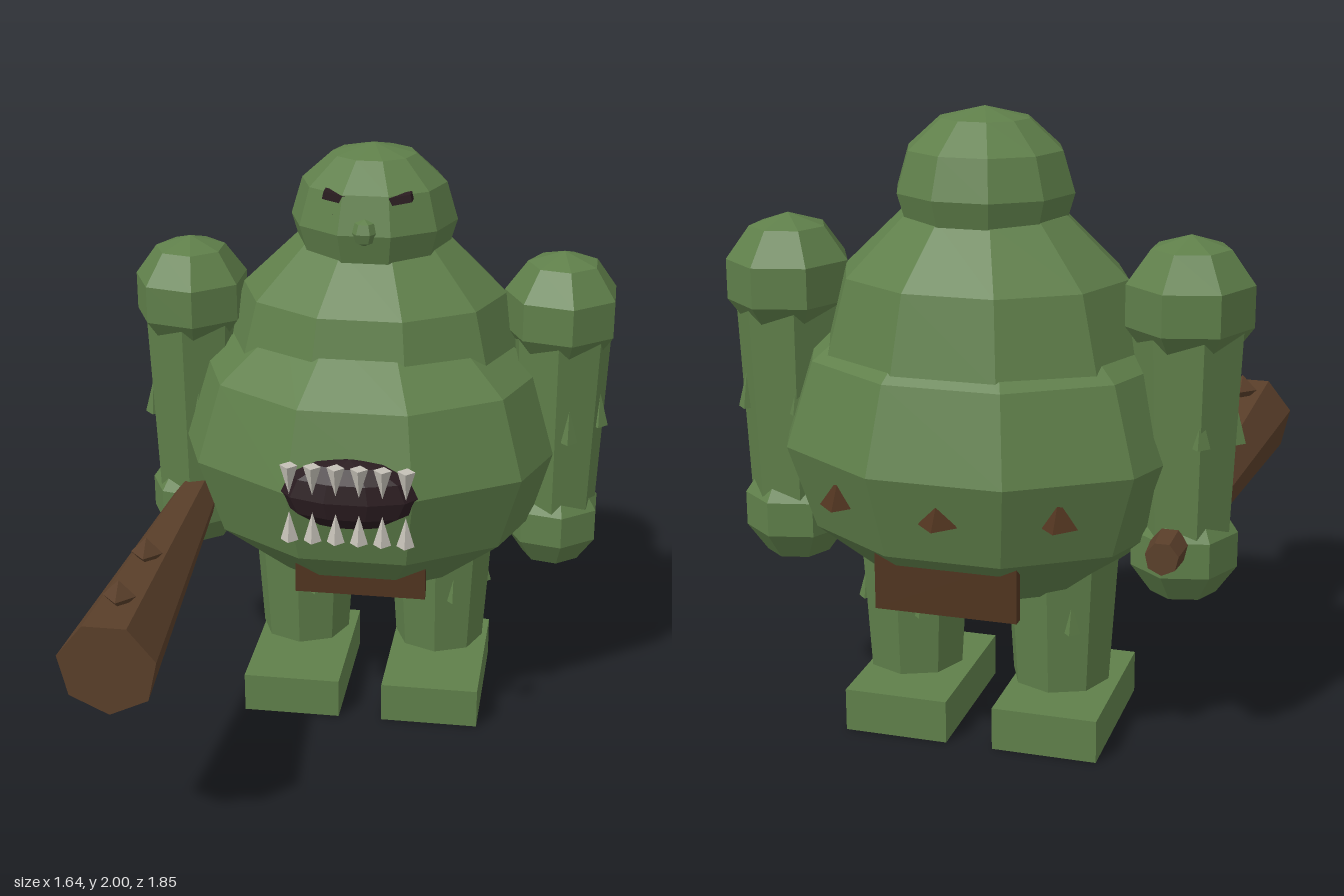
import * as THREE from 'three';

const flat = (name, color) => {
  const m = new THREE.MeshStandardMaterial({ color, flatShading: true });
  m.name = name;
  return m;
};

export function createModel() {
  const skin = flat('green skin', 0x5f7f4a);
  const wood = flat('club wood', 0x5a3f2a);
  const hide = flat('brown hide', 0x50341f);
  const dark = flat('dark mouth', 0x2a1c20);
  const bone = flat('tooth bone', 0xc4c0b6);

  const model = new THREE.Group();
  model.name = 'ogre';

  const add = (name, geometry, material, x, y, z, parent = model) => {
    const mesh = new THREE.Mesh(geometry, material);
    mesh.name = name;
    mesh.position.set(x, y, z);
    parent.add(mesh);
    return mesh;
  };
  const ball = (name, material, [x, y, z], [rx, ry, rz], sides, rows, parent) =>
    add(name, new THREE.SphereGeometry(1, sides, rows).scale(rx, ry, rz), material, x, y, z, parent);
  const spike = (name, material, x, y, z, r, h, parent) =>
    add(name, new THREE.ConeGeometry(r, h, 4), material, x, y, z, parent);

  // Stacked body
  ball('belly', skin, [0, 0.98, -0.355], [0.67, 0.53, 0.585], 10, 6);
  ball('chest', skin, [0, 1.25, -0.4], [0.52, 0.5, 0.44], 10, 6);
  ball('head', skin, [0, 1.75, -0.39], [0.28, 0.25, 0.265], 10, 6);

  // Face
  ball('nose', skin, [0, 1.76, -0.15], [0.045, 0.045, 0.04], 6, 4);
  for (const s of [-1, 1]) {
    ball('eye', dark, [s * 0.1, 1.81, -0.19], [0.012, 0.018, 0.022], 6, 4);
    const brow = add('eyebrow', new THREE.BoxGeometry(0.105, 0.026, 0.045), dark, s * 0.092 + 0.005, 1.862, -0.193);
    brow.rotation.z = s * 0.22;
  }

  // Belly mouth with two rows of teeth
  ball('mouth', dark, [0, 0.987, 0.18], [0.23, 0.12, 0.095], 10, 6);
  for (let i = 0; i < 6; i++) {
    const x = -0.18 + i * 0.075;
    spike('upperTooth', bone, x, 1.07, 0.28, 0.029, 0.1).rotation.x = Math.PI;
    spike('lowerTooth', bone, x, 0.91, 0.28, 0.029, 0.1);
  }

  // Arms and legs, with small warts
  for (const s of [-1, 1]) {
    const side = s > 0 ? 'left' : 'right';
    const arm = new THREE.Group();
    arm.name = side + 'Arm';
    arm.position.set(s * 0.637, 0, -0.41);
    model.add(arm);
    ball('shoulder', skin, [0, 1.445, 0], [0.205, 0.205, 0.215], 7, 5, arm);
    add('upperLimb', new THREE.CylinderGeometry(0.175, 0.145, 0.7, 7), skin, 0, 1.03, 0, arm);
    ball('hand', skin, [0, 0.685, 0], [0.175, 0.18, 0.175], 7, 5, arm);
    for (const [a, y] of [[0.3, 1.08], [1.3, 1.11], [2.1, 1.09], [3.6, 1.1], [5, 1.07]])
      spike('wart', skin, Math.sin(a) * 0.148, y, Math.cos(a) * 0.148, 0.032, 0.12, arm);

    const leg = new THREE.Group();
    leg.name = side + 'Leg';
    leg.position.set(s * 0.245, 0, -0.39);
    model.add(leg);
    add('shin', new THREE.CylinderGeometry(0.19, 0.157, 0.52, 8), skin, 0, 0.455, 0, leg);
    add('foot', new THREE.BoxGeometry(0.338, 0.14, 0.54), skin, 0, 0.073, 0.06, leg);
    for (const a of [0.4, 1.8, 3.6])
      spike('wart', skin, Math.sin(a) * 0.158 , 0.45, Math.cos(a) * 0.158, 0.028, 0.1, leg);
  }

  // Loincloth flaps
  add('frontFlap', new THREE.BoxGeometry(0.445, 0.145, 0.03), hide, 0.008, 0.597, -0.018);
  add('backFlap', new THREE.BoxGeometry(0.445, 0.2, 0.035), hide, 0.008, 0.625, -0.773);

  // Small spikes on the lower back
  for (const a of [-0.57, 0, 0.57])
    spike('backSpike', hide, Math.sin(a) * 0.63, 0.885, -0.355 - Math.cos(a) * 0.52, 0.06, 0.085);

  // Club pointing forward from the right hand
  const club = new THREE.Group();
  club.name = 'club';
  club.position.set(-0.62, 0.715, 0.125);
  club.rotation.x = 0.015;
  model.add(club);
  const shaft = new THREE.CylinderGeometry(0.157, 0.052, 1.57, 7);
  shaft.rotateX(Math.PI / 2);
  add('shaft', shaft, wood, 0, 0, 0, club);
  for (const [z, s] of [[0.4, 1], [0.73, 1], [0.23, -1], [0.57, -1]]) {
    const r = 0.105 + (z + 0.66) * 0.067 - 0.05;
    add('stud', new THREE.OctahedronGeometry(0.052), wood, 0, s * (r + 0.005), z - 0.125, club);
  }
  return model;
}
